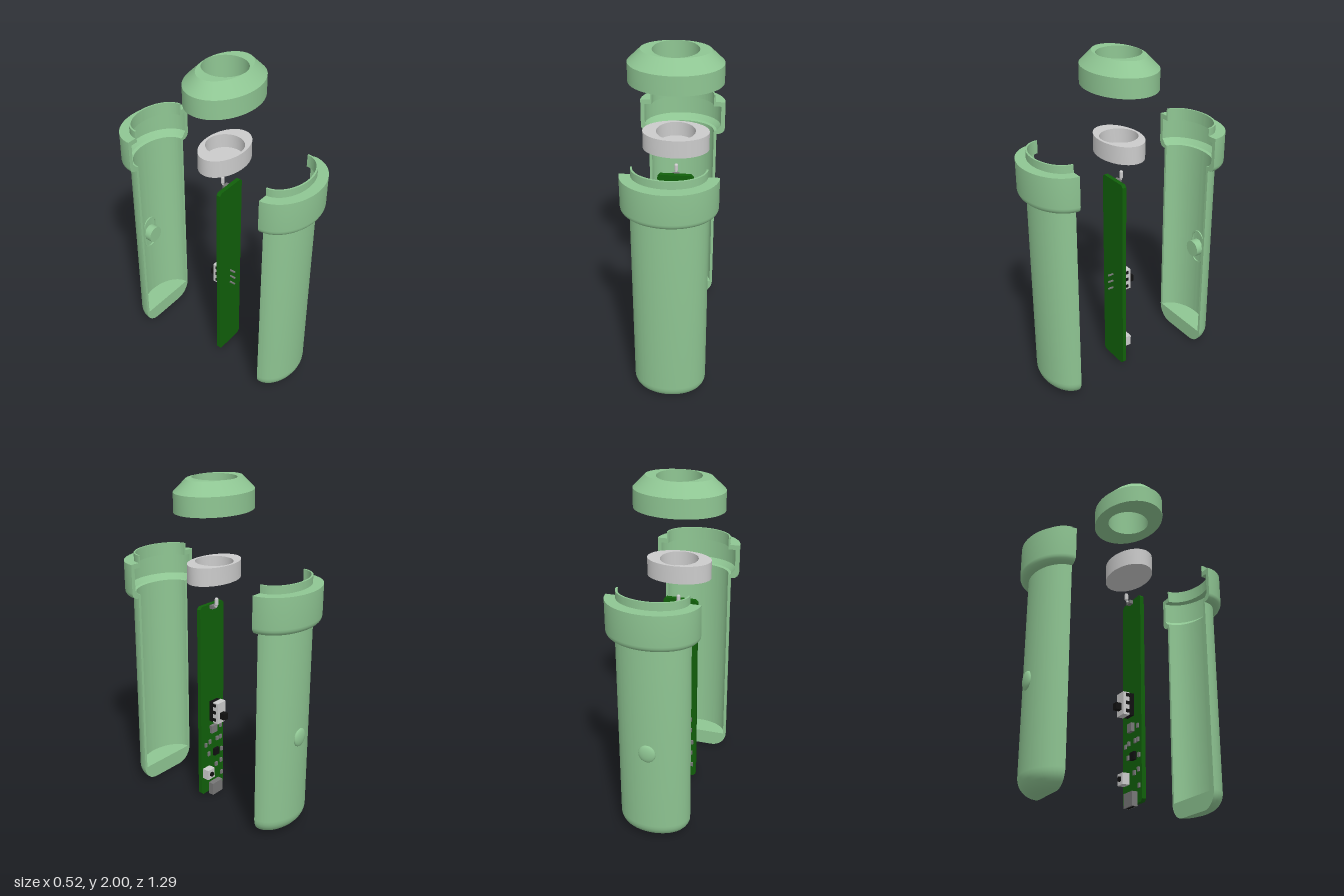
import * as THREE from 'three';
import { toCreasedNormals } from 'three/addons/utils/BufferGeometryUtils.js';

const mat = (color) => new THREE.MeshStandardMaterial({ color, side: THREE.DoubleSide });
const green = mat(0x8fc693), board = mat(0x11600a), grey = mat(0xcccccc);
const black = mat(0x111111), steel = mat(0x777777);

function add(parent, name, geometry, material, x = 0, y = 0, z = 0) {
  const mesh = new THREE.Mesh(geometry, material);
  mesh.name = name;
  mesh.position.set(x, y, z);
  parent.add(mesh);
  return mesh;
}

const box = (parent, name, material, w, h, d, x, y, z) =>
  add(parent, name, new THREE.BoxGeometry(w, h, d), material, x, y, z);

// Revolve a profile, then squash each ring in z by the rule depth(radius)
function ovalLathe(points, depth, start = 0, sweep = Math.PI * 2) {
  const g = new THREE.LatheGeometry(points.map(([r, y]) => new THREE.Vector2(r, y)), 64, start, sweep);
  const p = g.attributes.position;
  for (let i = 0; i < p.count; i++) {
    const r = Math.hypot(p.getX(i), p.getZ(i));
    if (r > 1e-6) p.setZ(i, p.getZ(i) * depth(r) / r);
  }
  return toCreasedNormals(g, 0.5);
}

// Quarter-round corner from straight down to straight out
function corner(cx, cy, radius, n) {
  return Array.from({ length: n + 1 }, (_, i) => {
    const t = -Math.PI / 2 + (Math.PI / 2) * i / n;
    return [cx + radius * Math.cos(t), cy + radius * Math.sin(t)];
  });
}

// One half of the housing: thick rounded floor, thin wall, hollow collar, lip
const shellProfile = [
  [0, 0.01], ...corner(0.11, 0.11, 0.1, 8),
  [0.21, 1.265], ...corner(0.22, 1.305, 0.04, 5),
  [0.26, 1.48], [0.2, 1.48], [0.2, 1.525], [0.19, 1.525], [0.19, 1.45],
  [0.235, 1.45], [0.235, 1.32], [0.21, 1.29], [0.193, 1.285],
  [0.193, 0.11], [0, 0.11],
];

function halfShell(name) {
  const g = new THREE.Group();
  g.name = name;
  const depth = (r) => (r < 0.11 ? r * 0.436 : r - 0.062);
  add(g, 'shellWall', ovalLathe(shellProfile, depth, -Math.PI / 2, Math.PI), green);
  // Flat face along the split
  const outline = [...shellProfile, ...shellProfile.slice(1, -1).reverse().map(([x, y]) => [-x, y])];
  const face = new THREE.ShapeGeometry(new THREE.Shape(outline.map(([x, y]) => new THREE.Vector2(x, y))));
  add(g, 'splitFace', face, green).rotation.y = Math.PI;
  g.position.z = 0.449;
  return g;
}

function stadium(path, r, low, high) {
  path.absarc(0, high - r, r, 0, Math.PI, false);
  path.absarc(0, low + r, r, Math.PI, Math.PI * 2, false);
  path.closePath();
  return path;
}

function buildButton() {
  const g = new THREE.Group();
  g.name = 'slideButton';
  const dome = new THREE.SphereGeometry(1, 32, 16);
  dome.scale(0.05, 0.055, 0.018);
  add(g, 'buttonCap', dome, green, 0, 0.615, -0.596);
  const stem = new THREE.CylinderGeometry(0.053, 0.053, 0.062, 32);
  stem.rotateX(Math.PI / 2);
  add(g, 'buttonStem', stem, green, 0, 0.615, -0.561);
  // Raised rim around the slot on the inside wall
  const rim = stadium(new THREE.Shape(), 0.055, 0.5, 0.73);
  rim.holes.push(stadium(new THREE.Path(), 0.045, 0.51, 0.72));
  add(g, 'slotRim', new THREE.ExtrudeGeometry(rim, { depth: 0.012, bevelEnabled: false, curveSegments: 12 }),
    green, 0, 0, -0.583);
  return g;
}

function buildCircuit() {
  const g = new THREE.Group();
  g.name = 'circuitBoard';
  // Board with clipped corners
  const w = 0.103, lo = 0.02, hi = 1.265, c = 0.015;
  const s = new THREE.Shape([
    [-w + c, lo], [w - c, lo], [w, lo + c], [w, hi - c], [w - c, hi], [-w + c, hi], [-w, hi - c], [-w, lo + c],
  ].map(([x, y]) => new THREE.Vector2(x, y)));
  add(g, 'board', new THREE.ExtrudeGeometry(s, { depth: 0.025, bevelEnabled: false }), board, 0, 0, 0.055);

  // Slide switch with three pins through the board
  box(g, 'switchBase', black, 0.07, 0.13, 0.03, 0, 0.585, 0.033);
  box(g, 'switchCase', grey, 0.072, 0.135, 0.04, 0, 0.585, -0.002);
  box(g, 'switchLever', black, 0.035, 0.04, 0.036, 0, 0.567, -0.04);
  for (const y of [0.54, 0.588, 0.635]) {
    box(g, 'switchPin', steel, 0.008, 0.008, 0.08, 0, y, 0.077);
    for (const x of [-0.036, 0.036]) box(g, 'switchClip', black, 0.006, 0.02, 0.025, x, y, 0.008);
  }

  // Charging socket
  box(g, 'socket', steel, 0.09, 0.08, 0.036, -0.01, 0.042, 0.038);
  box(g, 'socketMouth', black, 0.07, 0.006, 0.018, -0.01, 0.003, 0.038);

  // Push button
  box(g, 'pushButtonCase', grey, 0.06, 0.065, 0.045, 0.06, 0.17, 0.033);
  const cap = new THREE.CylinderGeometry(0.015, 0.015, 0.012, 20);
  cap.rotateX(Math.PI / 2);
  add(g, 'pushButtonCap', cap, black, 0.06, 0.17, 0.008);

  // Small surface parts: x, y, width, height, depth
  box(g, 'coil', steel, 0.05, 0.05, 0.02, 0, 0.455, 0.045);
  box(g, 'chip', black, 0.045, 0.045, 0.018, -0.025, 0.285, 0.046);
  for (const [x, y] of [[-0.07, 0.45], [-0.07, 0.37], [-0.04, 0.37], [-0.08, 0.28], [-0.075, 0.2],
    [0.03, 0.37], [0.065, 0.36], [0.04, 0.29], [-0.03, 0.19], [-0.08, 0.11]]) {
    box(g, 'chipPart', steel, 0.018, 0.026, 0.01, x, y, 0.05);
  }

  // Lamp on top
  box(g, 'lampBase', steel, 0.04, 0.022, 0.025, 0, 1.25, 0.045);
  box(g, 'lampLead', grey, 0.01, 0.01, 0.02, 0, 1.255, 0.028);
  add(g, 'lamp', new THREE.CapsuleGeometry(0.011, 0.03, 4, 16), grey, 0, 1.283, 0.02);
  return g;
}

export function createModel() {
  const model = new THREE.Group();
  model.name = 'explodedTorch';

  const front = halfShell('frontShell');
  const back = halfShell('backShell');
  back.rotation.y = Math.PI;
  back.position.z = -0.449;
  model.add(front, back, buildButton(), buildCircuit());

  // Oval cap and lens holder, both with round openings
  const depth = (r) => (r < 0.13 ? r : r - 0.062);
  add(model, 'cap', ovalLathe([
    [0.126, 1.82], [0.26, 1.82], [0.26, 1.93], [0.19, 2], [0.126, 2], [0.126, 1.82],
  ], depth), green, 0, 0, 0.034);
  add(model, 'lensHolder', ovalLathe([
    [0, 1.42], [0.187, 1.42], [0.187, 1.525], [0.11, 1.525], [0.11, 1.44], [0, 1.44],
  ], depth), grey, 0, 0, 0.036);
  return model;
}
